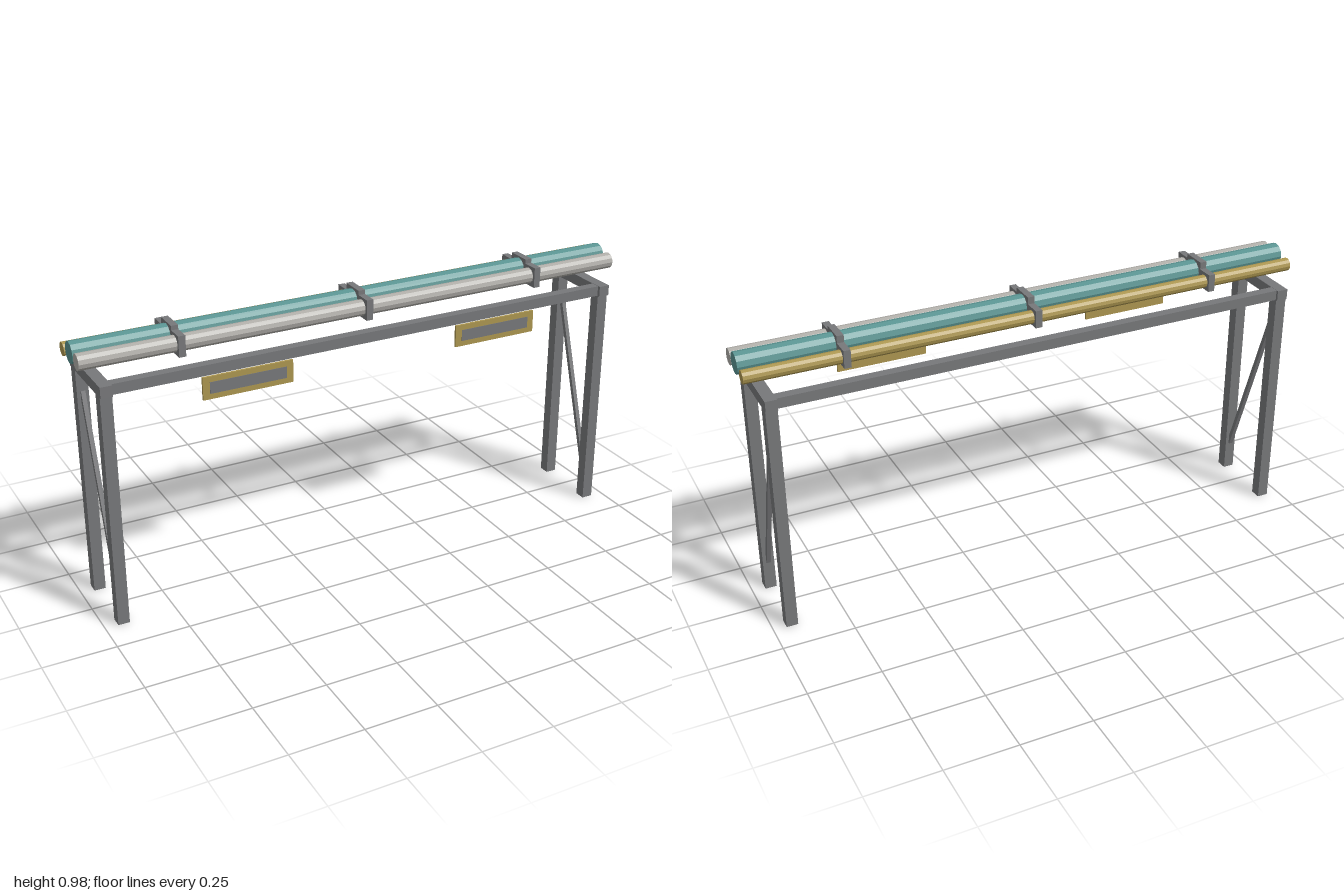
import * as THREE from 'three';

const material = (name, color) => {
  const m = new THREE.MeshStandardMaterial({ color, flatShading: true });
  m.name = name;
  return m;
};

export function createModel() {
  const model = new THREE.Group();
  model.name = 'pipeRack';
  const steel = material('steel grey', 0x77787a);
  const teal = material('teal', 0x5a9492);
  const silver = material('pale grey', 0xb0aea9);
  const gold = material('ochre', 0xac9650);

  const add = (name, geometry, mat, x = 0, y = 0, z = 0) => {
    const mesh = new THREE.Mesh(geometry, mat);
    mesh.name = name;
    mesh.position.set(x, y, z);
    model.add(mesh);
    return mesh;
  };
  const box = (name, mat, w, h, d, x, y, z) =>
    add(name, new THREE.BoxGeometry(w, h, d), mat, x, y, z);

  const frontZ = 0.114, backZ = -0.126, endX = 0.935;

  // End frames: two legs, a cross beam and a rising diagonal brace
  for (const side of [-1, 1]) {
    const x = side * endX;
    box('frontLeg', steel, 0.04, 0.822, 0.04, x, 0.411, frontZ);
    box('backLeg', steel, 0.04, 0.822, 0.04, x, 0.411, backZ);
    box('crossBeam', steel, 0.04, 0.038, 0.294, x, 0.841, -0.005);
    const brace = box('diagonalBrace', steel, 0.015, 0.67, 0.015, x, 0.427, -0.006);
    brace.rotation.x = -Math.atan2(0.2, 0.617);
  }

  // Long beams between the end frames
  box('frontBeam', steel, 1.84, 0.036, 0.034, 0, 0.841, frontZ);
  box('backBeam', steel, 1.84, 0.036, 0.034, 0, 0.841, backZ);

  // Three pipes running the full length
  const pipes = [
    ['frontPipe', silver, 0.028, 0.925, 0.067],
    ['middlePipe', teal, 0.037, 0.933, 0.001],
    ['backPipe', gold, 0.023, 0.918, -0.072],
  ];
  for (const [name, mat, r, y, z] of pipes) {
    const geometry = new THREE.CylinderGeometry(r, r, 2, 12).rotateZ(Math.PI / 2);
    add(name, geometry, mat, 0, y, z);
  }

  // Stepped clamps around the pipes; outline drawn in (-z, y)
  const outline = [
    [-0.103, 0.889], [0.103, 0.889], [0.103, 0.951], [0.043, 0.951],
    [0.043, 0.976], [-0.045, 0.976], [-0.045, 0.961], [-0.103, 0.961],
  ].map(([a, b]) => new THREE.Vector2(a, b));
  const clamp = new THREE.ExtrudeGeometry(new THREE.Shape(outline), { depth: 0.024, bevelEnabled: false });
  clamp.translate(0, 0, -0.012).rotateY(Math.PI / 2);
  for (const x of [-0.667, 0, 0.667]) add('pipeClamp', clamp, steel, x);

  // Sign plates with inset panels on the front
  for (const x of [-0.466, 0.466]) {
    box('signPlate', gold, 0.316, 0.078, 0.008, x, 0.788, 0.147);
    box('signPanel', steel, 0.268, 0.04, 0.003, x, 0.788, 0.151);
  }

  return model;
}
